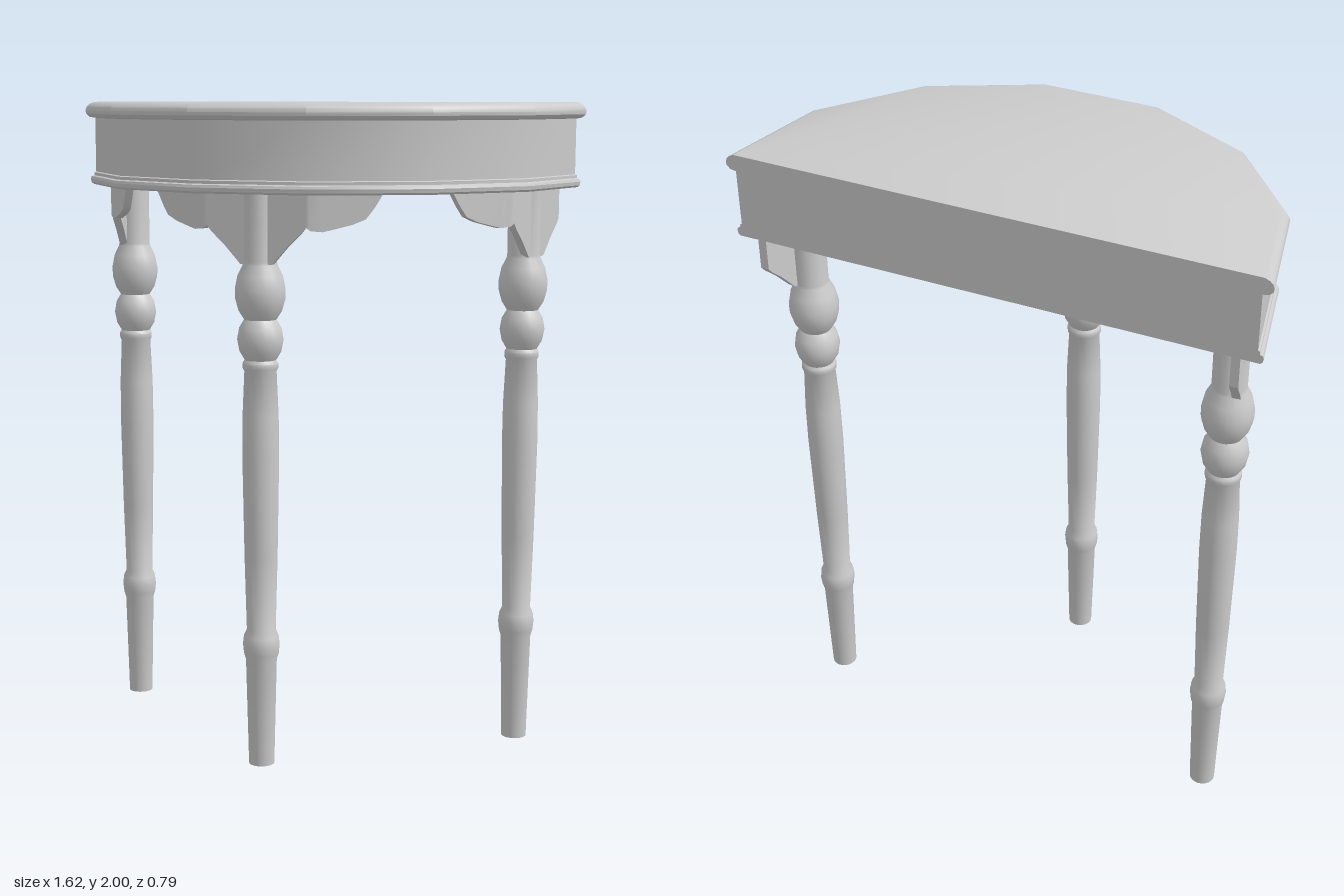
import * as THREE from 'three';
import { toCreasedNormals } from 'three/addons/utils/BufferGeometryUtils.js';

const BACK = -0.395, UNDERSIDE = 1.74;
const material = new THREE.MeshStandardMaterial({ color: 0xcccccc });

// Half-round outline, from the left back corner round the front to the right
const half = [[0.81, BACK], [0.735, -0.05], [0.508, 0.233], [0.183, 0.393]];
const outline = [...half, ...half.slice().reverse().map(([x, z]) => [-x, z])]
  .map(([x, z]) => new THREE.Vector2(x, z));

// Outline moved inwards by d with mitred corners; its ends stay on the back plane
function inset(d) {
  const last = outline.length - 1;
  const normal = (i) => {
    const e = outline[i + 1].clone().sub(outline[i]).normalize();
    return new THREE.Vector2(e.y, -e.x);
  };
  return outline.map((p, i) => {
    if (i === 0 || i === last) {
      const n = normal(i === 0 ? 0 : last - 1);
      return new THREE.Vector2(p.x - d / n.x, p.y);
    }
    const a = normal(i - 1), b = normal(i);
    return p.clone().sub(a.clone().add(b).multiplyScalar(d / (1 + a.dot(b))));
  });
}

function makeMesh(name, positions, crease) {
  const g = new THREE.BufferGeometry();
  g.setAttribute('position', new THREE.Float32BufferAttribute(positions, 3));
  const m = new THREE.Mesh(toCreasedNormals(g, crease), material);
  m.name = name;
  return m;
}

// Closed solid from rings of [inset, height], bottom to top
function layeredSolid(name, profile) {
  const rings = profile.map(([d, y]) => inset(d).map((p) => [p.x, y, p.y]));
  const n = outline.length, pos = [];
  const tri = (...corners) => corners.forEach((c) => pos.push(...c));
  for (let k = 0; k < rings.length - 1; k++) {
    for (let i = 0; i < n; i++) {
      const j = (i + 1) % n, lo = rings[k], up = rings[k + 1];
      tri(lo[j], lo[i], up[i]);
      tri(lo[j], up[i], up[j]);
    }
  }
  const bottom = rings[0], top = rings[rings.length - 1];
  for (let i = 1; i < n - 1; i++) {
    tri(bottom[0], bottom[i], bottom[i + 1]);
    tri(top[0], top[i + 1], top[i]);
  }
  return makeMesh(name, pos, 0.52);
}

// Path on which the brackets run
const outer = inset(0.075), inner = inset(0.1);
const lengths = [0];
for (let i = 1; i < outer.length; i++) lengths.push(lengths[i - 1] + outer[i].distanceTo(outer[i - 1]));
const total = lengths[lengths.length - 1];

function along(s) {
  let i = 0;
  while (i < outer.length - 2 && s > lengths[i + 1]) i++;
  const t = (s - lengths[i]) / (lengths[i + 1] - lengths[i]);
  return [outer[i].clone().lerp(outer[i + 1], t), inner[i].clone().lerp(inner[i + 1], t)];
}

// Lower edge of a bracket: [distance from leg, height]
const edge = [[0, 1.53], [0.05, 1.535], [0.1, 1.59], [0.14, 1.627], [0.155, 1.645], [0.17, 1.635],
  [0.205, 1.632], [0.24, 1.64], [0.29, 1.652], [0.33, 1.668], [0.355, 1.7], [0.38, UNDERSIDE]];

function lowerEdge(d) {
  let i = 0;
  while (i < edge.length - 2 && d > edge[i + 1][0]) i++;
  const [a, ya] = edge[i], [b, yb] = edge[i + 1];
  return THREE.MathUtils.mapLinear(d, a, b, ya, yb);
}

// Scalloped bracket bent along the path, cut off at the back plane
function bracket(centre) {
  const lo = Math.max(0.005, centre - 0.38), hi = Math.min(total - 0.005, centre + 0.38);
  const stops = [lo, hi, ...lengths];
  for (const [d] of edge) stops.push(centre - d, centre + d);
  const sorted = [...new Set(stops.filter((s) => s >= lo && s <= hi))].sort((a, b) => a - b);
  const sections = sorted.map((s) => {
    const [o, n] = along(s), y = lowerEdge(Math.abs(s - centre)), top = UNDERSIDE + 0.005;
    return [[o.x, top, o.y], [o.x, y, o.y], [n.x, y, n.y], [n.x, top, n.y]];
  });
  const pos = [];
  const tri = (...corners) => corners.forEach((c) => pos.push(...c));
  for (let k = 0; k < sections.length - 1; k++) {
    const A = sections[k], B = sections[k + 1];
    for (let j = 0; j < 4; j++) {
      const m = (j + 1) % 4;
      tri(A[j], B[j], B[m]);
      tri(A[j], B[m], A[m]);
    }
  }
  const s = sections[0], e = sections[sections.length - 1];
  tri(s[0], s[1], s[2]); tri(s[0], s[2], s[3]);
  tri(e[0], e[2], e[1]); tri(e[0], e[3], e[2]);
  return makeMesh('bracket', pos, 0.52);
}

// Turned leg profile: [radius, height]
const legProfile = [[0, 0], [0.039, 0], [0.047, 0.33], [0.053, 0.35], [0.056, 0.378], [0.053, 0.405],
  [0.044, 0.425], [0.05, 0.65], [0.055, 0.95], [0.054, 1.08], [0.048, 1.215], [0.053, 1.225],
  [0.053, 1.24], [0.047, 1.25], [0.062, 1.275], [0.069, 1.31], [0.063, 1.345], [0.048, 1.37],
  [0.064, 1.395], [0.074, 1.43], [0.075, 1.46], [0.067, 1.5], [0.052, 1.53], [0.05, 1.54],
  [0.05, UNDERSIDE + 0.005]];

function leg() {
  const points = legProfile.map(([r, y]) => new THREE.Vector2(r, y));
  const m = new THREE.Mesh(toCreasedNormals(new THREE.LatheGeometry(points, 20), 0.6), material);
  m.name = 'turnedLeg';
  return m;
}

export function createModel() {
  const table = new THREE.Group();
  table.name = 'halfRoundTable';

  // Top, apron and base moulding
  table.add(layeredSolid('tableTop', [[0.028, 1.95], [0.012, 1.953], [0.002, 1.963], [0, 1.973],
    [0.004, 1.985], [0.013, 1.994], [0.027, 2]]));
  table.add(layeredSolid('apron', [[0.03, 1.765], [0.03, 1.955]]));
  table.add(layeredSolid('baseMoulding', [[0.022, UNDERSIDE], [0.015, 1.746], [0.013, 1.757],
    [0.016, 1.765], [0.024, 1.768], [0.024, 1.777], [0.031, 1.78]]));

  // Three legs with their brackets
  const sideS = (-0.24 - BACK) / (outer[1].y - BACK) * lengths[1];
  const spots = [['leftLeg', 0.66, -0.24, sideS], ['frontLeg', 0, 0.285, total / 2],
    ['rightLeg', -0.66, -0.24, total - sideS]];
  for (const [name, x, z, s] of spots) {
    const g = new THREE.Group();
    g.name = name;
    const l = leg();
    l.position.set(x, 0, z);
    g.add(l, bracket(s));
    table.add(g);
  }
  return table;
}
